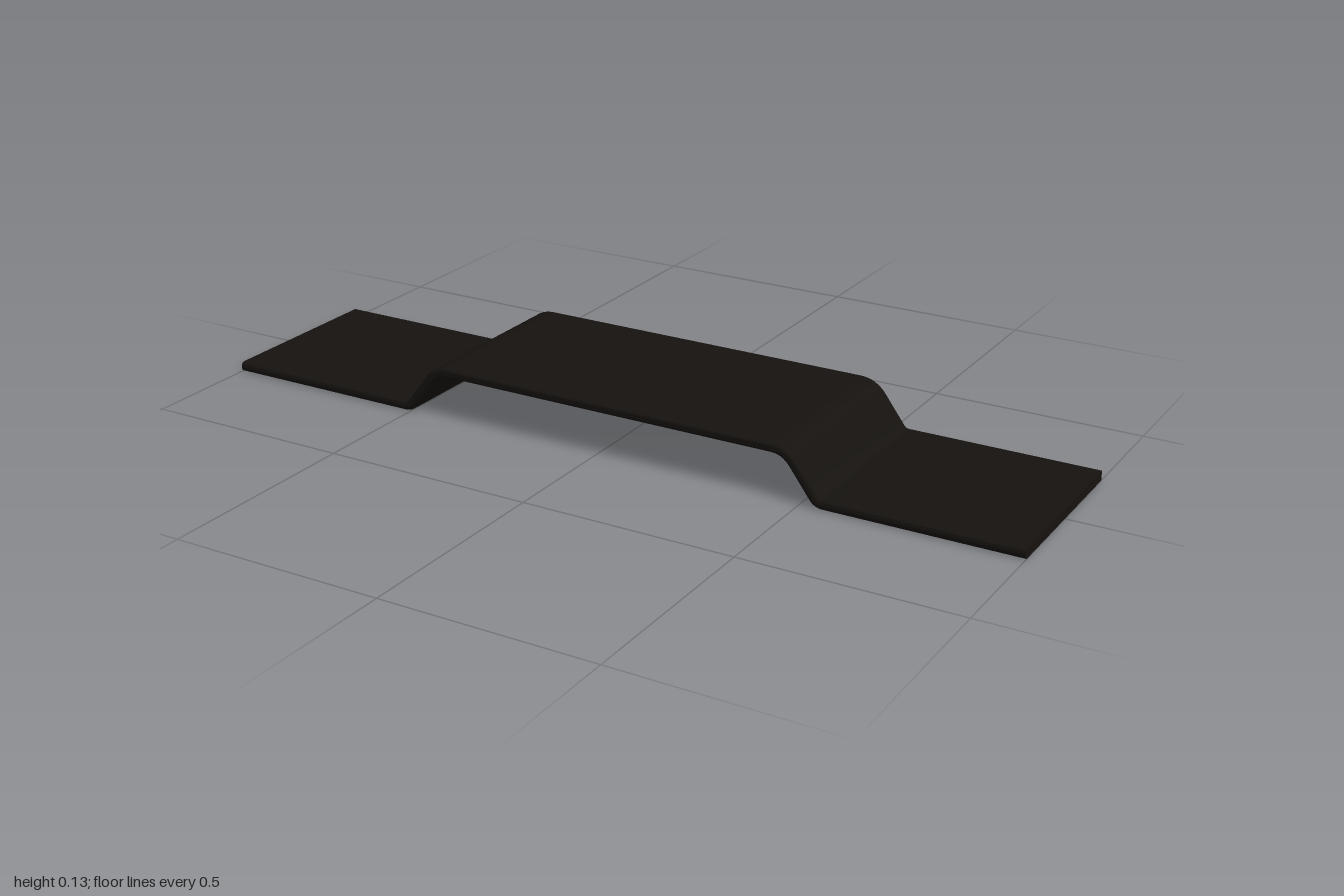
import * as THREE from 'three';
import { toCreasedNormals } from 'three/addons/utils/BufferGeometryUtils.js';

const HALF_T = 0.0115, HALF_W = 0.221, EDGE = 0.009;
const LOW = HALF_T, HIGH = 0.115;

// Centre line of the strip: foot, ramp, raised bridge, ramp, foot, with filleted bends
function centreLine() {
  const corners = [[-0.5, LOW, 0.014], [-0.423, HIGH, 0.034], [0.463, HIGH, 0.034], [0.54, LOW, 0.014]]
    .map(([x, y, r]) => ({ p: new THREE.Vector2(x, y), r }));
  const end = new THREE.Vector2(1, LOW);
  const path = new THREE.Path();
  path.moveTo(-1, LOW);
  let prev = new THREE.Vector2(-1, LOW);
  corners.forEach(({ p, r }, i) => {
    const next = i < 3 ? corners[i + 1].p : end;
    const a = prev.clone().sub(p).setLength(r).add(p);
    const b = next.clone().sub(p).setLength(r).add(p);
    path.lineTo(a.x, a.y);
    path.quadraticCurveTo(p.x, p.y, b.x, b.y);
    prev = p;
  });
  path.lineTo(1, LOW);
  return path.getPoints(8);
}

// Cross-section (z, thickness): rounded front edge, square back edge
function section() {
  const s = new THREE.Path();
  s.moveTo(-HALF_W, -HALF_T);
  s.lineTo(HALF_W - EDGE, -HALF_T);
  s.absarc(HALF_W - EDGE, -HALF_T + EDGE, EDGE, -Math.PI / 2, 0, false);
  s.lineTo(HALF_W, HALF_T - EDGE);
  s.absarc(HALF_W - EDGE, HALF_T - EDGE, EDGE, 0, Math.PI / 2, false);
  s.lineTo(-HALF_W, HALF_T);
  return s.getPoints(5);
}

// Sweep the section along the line, mitring the bends
function sweep(line, ring) {
  const pos = [], idx = [], n = ring.length, last = line.length - 1;
  line.forEach((p, i) => {
    const d0 = p.clone().sub(line[Math.max(i - 1, 0)]).normalize();
    const d1 = line[Math.min(i + 1, last)].clone().sub(p).normalize();
    const t = d0.clone().add(d1).normalize();
    const mitre = 1 / Math.max(t.dot(i < last ? d1 : d0), 0.5);
    for (const q of ring) pos.push(p.x - t.y * q.y * mitre, p.y + t.x * q.y * mitre, q.x);
  });
  for (let i = 0; i < last; i++) {
    for (let j = 0; j < n; j++) {
      const k = (j + 1) % n, a = i * n + j, b = a + n, c = (i + 1) * n + k, d = i * n + k;
      idx.push(a, b, c, a, c, d);
    }
  }
  // End caps
  const o = last * n;
  for (let j = 1; j < n - 1; j++) idx.push(0, j, j + 1, o, o + j + 1, o + j);
  const g = new THREE.BufferGeometry();
  g.setAttribute('position', new THREE.Float32BufferAttribute(pos, 3));
  g.setIndex(idx);
  return toCreasedNormals(g, 0.6);
}

export function createModel() {
  const group = new THREE.Group();
  group.name = 'bracket';
  const strip = new THREE.Mesh(
    sweep(centreLine(), section()),
    new THREE.MeshStandardMaterial({ color: 0x15120f })
  );
  strip.name = 'bentStrip';
  group.add(strip);
  return group;
}
